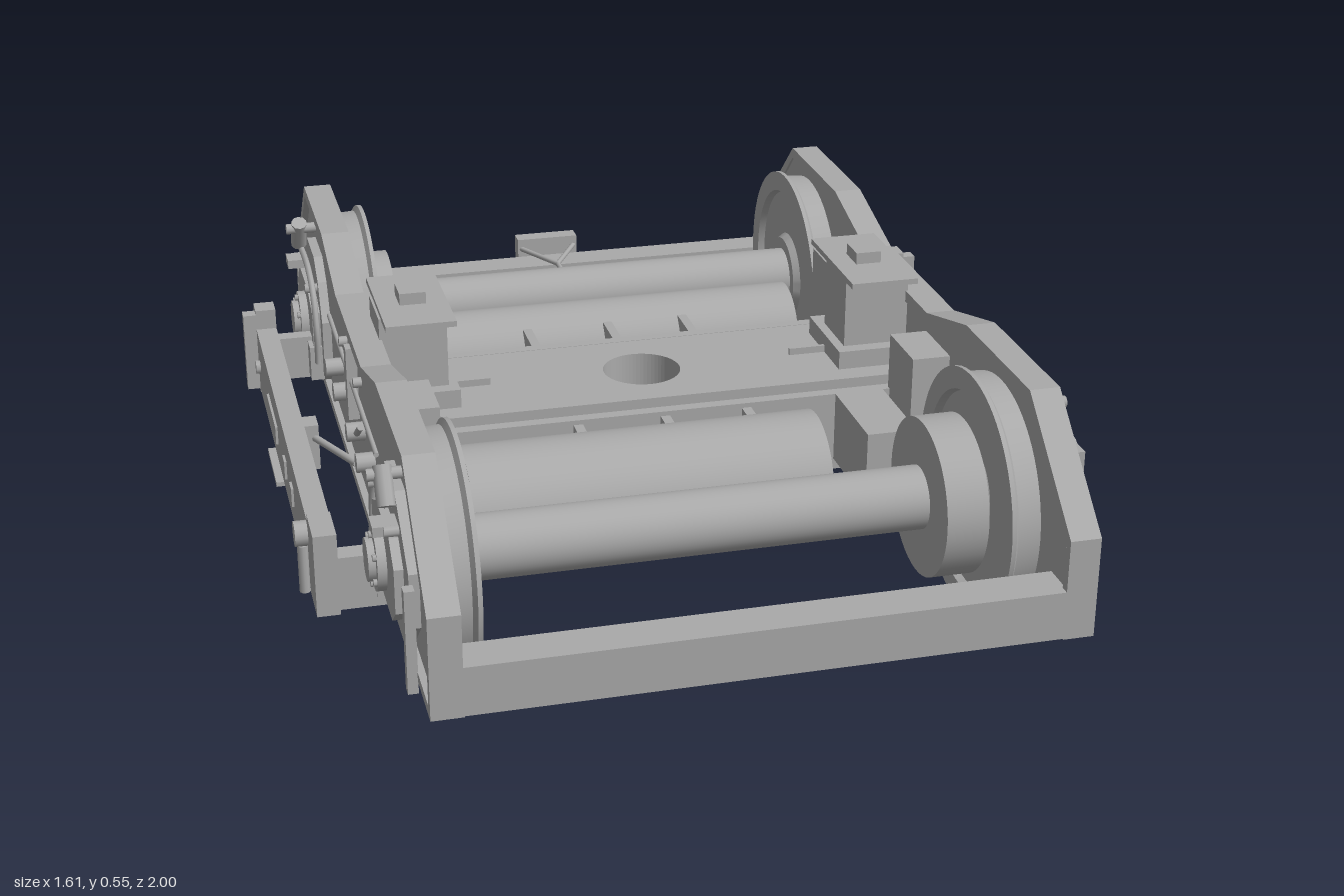
import * as THREE from 'three';
import { toCreasedNormals } from 'three/addons/utils/BufferGeometryUtils.js';

const steel = new THREE.MeshStandardMaterial({ color: 0xaaaaaa });
steel.name = 'steel grey';

export function createModel() {
  const model = new THREE.Group();
  model.name = 'railBogie';

  function add(name, geometry, parent = model) {
    const mesh = new THREE.Mesh(geometry, steel);
    mesh.name = name;
    parent.add(mesh);
    return mesh;
  }
  // Box given by its limits on each axis
  function box(name, x0, x1, y0, y1, z0, z1, parent) {
    const g = new THREE.BoxGeometry(Math.abs(x1 - x0), Math.abs(y1 - y0), Math.abs(z1 - z0));
    g.translate((x0 + x1) / 2, (y0 + y1) / 2, (z0 + z1) / 2);
    return add(name, g, parent);
  }
  // Cylinder lying along x
  function rod(name, x0, x1, y, z, r, parent, sides = 48) {
    const g = new THREE.CylinderGeometry(r, r, Math.abs(x1 - x0), sides);
    g.rotateZ(Math.PI / 2).translate((x0 + x1) / 2, y, z);
    return add(name, g, parent);
  }
  // Outline in (z, y), extruded between two x positions
  function plate(name, pts, x0, x1, parent, hole) {
    const shape = new THREE.Shape(pts.map(p => new THREE.Vector2(...p)));
    if (hole) shape.holes.push(new THREE.Path().absarc(hole[0], hole[1], hole[2], 0, Math.PI * 2));
    const g = new THREE.ExtrudeGeometry(shape, { depth: Math.abs(x1 - x0), bevelEnabled: false, curveSegments: 24 });
    g.rotateY(-Math.PI / 2).translate(Math.max(x0, x1), 0, 0);
    return add(name, g, parent);
  }
  // Straight bar between two points
  function bar(name, a, b, r, parent, sides = 10) {
    const A = new THREE.Vector3(...a), B = new THREE.Vector3(...b);
    const g = new THREE.CylinderGeometry(r, r, A.distanceTo(B), sides);
    const mesh = add(name, g, parent);
    mesh.position.copy(A).lerp(B, 0.5);
    mesh.quaternion.setFromUnitVectors(new THREE.Vector3(0, 1, 0), B.sub(A).normalize());
    return mesh;
  }

  const axles = [0.625, -0.6], axleY = 0.25;
  const topLine = [[1, 0.32], [0.77, 0.525], [0.44, 0.525], [0.22, 0.465],
    [-0.18, 0.465], [-0.4, 0.525], [-0.73, 0.525], [-0.96, 0.31]];

  // Everything that repeats on both sides
  for (const s of [1, -1]) {
    const side = new THREE.Group();
    side.name = s > 0 ? 'leftSide' : 'rightSide';
    model.add(side);
    const b = (name, x0, x1, ...rest) => box(name, s * x0, s * x1, ...rest, side);
    const p = (name, pts, x0, x1, hole) => plate(name, pts, s * x0, s * x1, side, hole);
    const r = (name, x0, x1, y, z, rad, n) => rod(name, s * x0, s * x1, y, z, rad, side, n);
    const l = (name, a, c, rad) => bar(name, [s * a[0], a[1], a[2]], [s * c[0], c[1], c[2]], rad, side);

    // Side frame: web, top flange, bottom flange and end posts
    p('sideFrameWeb', [[0.99, 0.12], ...topLine.map(([z, y]) => [z * 0.99, y - 0.01]), [-0.95, 0.12]], 0.57, 0.612);
    const lower = topLine.map(([z, y], i) => [z, y - (i === 0 || i === 7 ? 0.035 : 0.024)]).reverse();
    p('topFlange', [...topLine, ...lower], 0.565, 0.626);
    b('bottomFlange', 0.565, 0.626, 0.115, 0.135, -0.96, 1);
    b('frontEndPost', 0.565, 0.626, 0.12, 0.3, 0.98, 1);
    b('rearEndPost', 0.565, 0.626, 0.12, 0.29, -0.96, -0.94);

    // Web fittings
    b('webRib', 0.61, 0.635, 0.27, 0.43, 0.01, 0.04);
    l('longPipe', [0.625, 0.355, 0.4], [0.625, 0.355, -0.34], 0.005);
    l('brakeLever', [0.63, 0.325, 0.2], [0.63, 0.28, 0.13], 0.007);
    for (const z of [0.1, -0.125]) r('webBoss', 0.61, 0.63, 0.38, z, 0.011, 12);
    for (const z of [0.26, 0.11, -0.1, -0.235]) r('webLug', 0.61, 0.65, 0.275, z, 0.02, 12);

    // Wheels, axle boxes and their guides
    for (const az of axles) {
      const profile = [[0, 0.505], [0.09, 0.505], [0.1, 0.52], [0.2, 0.52], [0.205, 0.505], [0.25, 0.505],
        [0.25, 0.514], [0.238, 0.522], [0.235, 0.568], [0.205, 0.568], [0.2, 0.556], [0.1, 0.556], [0, 0.556]];
      const wheel = toCreasedNormals(new THREE.LatheGeometry(
        profile.map(q => new THREE.Vector2(...q)), 64), 0.5);
      wheel.rotateZ(-s * Math.PI / 2).translate(0, axleY, az);
      add('wheel', wheel, side);

      const m = az > 0 ? 1 : -1; // towards the bogie end
      const at = (pts) => pts.map(([z, y]) => [az + m * z, y]);
      p('axleGuide', at([[0.21, 0.21], [0.21, 0.32], [0.13, 0.38], [0.07, 0.42], [-0.06, 0.42],
        [-0.12, 0.38], [-0.17, 0.3], [-0.17, 0.18], [-0.1, 0.13], [0.12, 0.13]]), 0.61, 0.632);
      p('axleBox', at([[0.15, 0.21], [0.15, 0.3], [0.1, 0.34], [-0.06, 0.34], [-0.13, 0.31],
        [-0.13, 0.2], [-0.07, 0.17], [0.1, 0.17]]), 0.63, 0.65);
      r('axleCapRing', 0.645, 0.668, axleY, az, 0.062, 32);
      r('axleCap', 0.66, 0.682, axleY, az, 0.042, 24);
      for (let i = 0; i < 6; i++) {
        const a = i * Math.PI / 3 + 0.5;
        r('capBolt', 0.665, 0.675, axleY + 0.052 * Math.sin(a), az + 0.052 * Math.cos(a), 0.007, 6);
      }
      b('guideBlock', 0.63, 0.66, 0.15, 0.23, az - m * 0.03, az - m * 0.14);
      b('guideStrap', 0.625, 0.645, 0.09, 0.3, az + m * 0.21, az + m * 0.235);
      for (const z of [0.11, -0.1]) r('guideBolt', 0.63, 0.66, 0.36, az + m * z, 0.011, 8);
      // Damper above the axle box
      l('damper', [0.65, 0.4, az + m * 0.09], [0.65, 0.465, az + m * 0.05], 0.018);
      r('damperPin', 0.61, 0.68, 0.45, az + m * 0.055, 0.012, 12);
      b('damperFoot', 0.61, 0.68, 0.35, 0.37, az + m * 0.06, az + m * 0.11);
      // Bent pipe over the axle box
      const pts = [[0.08, 0.39], [-0.05, 0.39], [-0.13, 0.36], [-0.165, 0.29], [-0.16, 0.2]]
        .map(([z, y]) => new THREE.Vector3(s * 0.645, y, az + m * z));
      add('bentPipe', new THREE.TubeGeometry(new THREE.CatmullRomCurve3(pts), 24, 0.007, 8), side);
    }

    // Outer shoe beam with brackets
    b('shoeBeam', 0.73, 0.775, 0.13, 0.275, -0.5, 0.5);
    b('frontBeamPost', 0.73, 0.775, 0.12, 0.29, 0.49, 0.59);
    b('frontBeamArm', 0.61, 0.775, 0.13, 0.24, 0.545, 0.59);
    b('rearBeamPost', 0.73, 0.775, 0.12, 0.32, -0.54, -0.49);
    b('rearBeamArm', 0.61, 0.775, 0.14, 0.24, -0.54, -0.505);
    b('rearBeamPad', 0.77, 0.803, 0.13, 0.31, -0.52, -0.49);
    b('hangerBlock', 0.7, 0.73, 0.17, 0.27, 0, 0.05);
    l('beamStay', [0.715, 0.24, 0.03], [0.64, 0.24, 0.19], 0.008);
    for (const z of [0.2, 0.07]) b('beamPad', 0.77, 0.78, 0.18, 0.22, z, z + 0.035);
    b('beamNamelessPlate', 0.77, 0.78, 0.18, 0.22, -0.25, -0.07);
    l('hangerRod', [0.785, 0.12, 0.48], [0.785, 0.22, 0.48], 0.011);
    r('hangerJoint', 0.77, 0.8, 0.245, 0.48, 0.025, 16);
    for (const z of [0.42, -0.45]) r('beamBolt', 0.77, 0.785, 0.2, z, 0.016, 8);
    // Step hanging below the beam
    b('stepHanger', 0.733, 0.741, 0.05, 0.14, -0.26, -0.2);
    b('stepPlate', 0.733, 0.78, 0.046, 0.056, -0.32, -0.14);

    // Side bearer on the transom
    b('bearerBase', 0.41, 0.57, 0.29, 0.35, -0.09, 0.12);
    b('bearerBlock', 0.43, 0.57, 0.34, 0.51, -0.045, 0.09);
    b('bearerPlate', 0.42, 0.565, 0.508, 0.52, -0.125, 0.16);
    b('bearerCap', 0.465, 0.52, 0.518, 0.545, -0.015, 0.05);
    b('bearerFin', 0.33, 0.41, 0.3, 0.325, 0.012, 0.02);

    // Inner brake cylinders' boxes
    b('rearInnerBox', 0.49, 0.57, 0.2, 0.42, -0.32, -0.19);
    b('frontInnerBox', 0.49, 0.57, 0.2, 0.42, 0.21, 0.35);
  }

  // Transom with the pivot hole in its top plate
  const deck = new THREE.Shape([[-0.57, -0.14], [0.57, -0.14], [0.57, 0.17], [-0.57, 0.17]].map(q => new THREE.Vector2(...q)));
  deck.holes.push(new THREE.Path().absarc(0, 0.015, 0.083, 0, Math.PI * 2));
  const deckGeometry = new THREE.ExtrudeGeometry(deck, { depth: 0.08, bevelEnabled: false, curveSegments: 32 });
  add('transomDeck', deckGeometry.rotateX(Math.PI / 2).translate(0, 0.31, 0));
  box('transomBody', -0.57, 0.57, 0.1, 0.23, -0.14, 0.17);
  box('rearMotorRail', -0.57, 0.57, 0.13, 0.3, -0.19, -0.165);
  box('frontMotorRail', -0.57, 0.57, 0.13, 0.3, 0.195, 0.22);
  for (const x of [-0.185, 0, 0.175]) {
    box('rearMotorBracket', x - 0.01, x + 0.01, 0.15, 0.29, -0.31, -0.18);
    box('frontMotorBracket', x - 0.01, x + 0.01, 0.15, 0.29, 0.21, 0.28);
  }

  // Motors, axles and gear cases
  rod('frontMotor', -0.455, 0.275, 0.203, 0.38, 0.132);
  rod('rearMotor', -0.45, 0.445, 0.205, -0.38, 0.107);
  for (const z of axles) rod('axle', -0.52, 0.52, axleY, z, 0.064);
  rod('frontGearCase', 0.41, 0.495, axleY, axles[0], 0.16);
  rod('rearGearCase', -0.5, -0.455, axleY, axles[1], 0.14);
  box('gearLink', 0.37, 0.475, 0.15, 0.3, 0.21, 0.43);

  // End beams
  box('frontEndBeam', -0.57, 0.57, 0.117, 0.215, 0.915, 1);
  box('rearEndBeam', -0.57, 0.57, 0.117, 0.215, -0.96, -0.885);

  // Rear pickup block with its forked stay
  box('rearBlock', -0.078, 0.072, 0.1, 0.26, -1, -0.96);
  for (const x of [-0.07, 0.065]) bar('forkStay', [x, 0.235, -0.965], [-0.002, 0.235, -0.84], 0.006);
  bar('centreStay', [-0.002, 0.235, -0.84], [-0.002, 0.235, -0.68], 0.006);
  box('stayPlate', -0.06, 0.056, 0.215, 0.255, -0.682, -0.666);

  return model;
}
